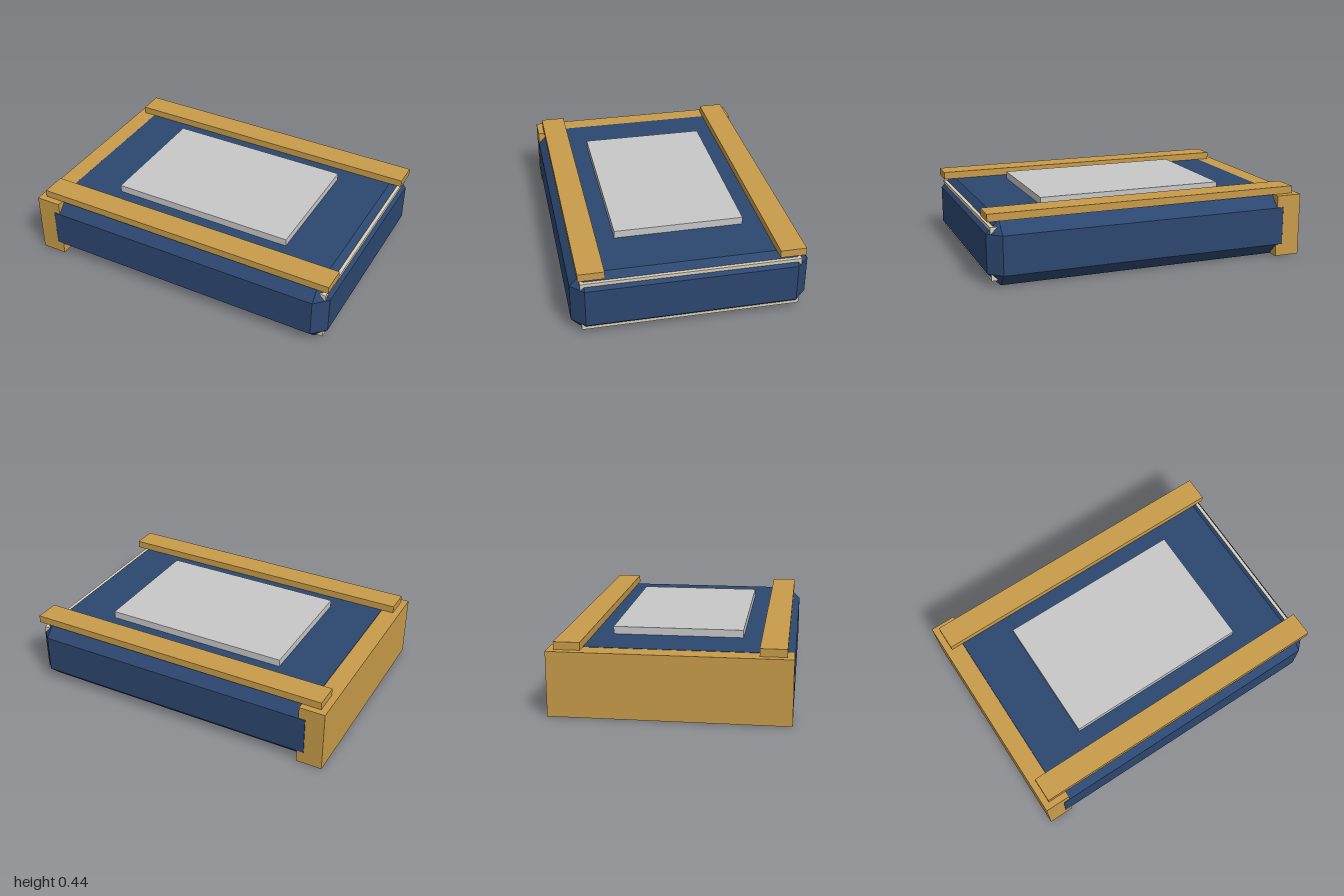
import * as THREE from 'three';
import { ConvexGeometry } from 'three/addons/geometries/ConvexGeometry.js';

const material = (name, color) => {
  const m = new THREE.MeshStandardMaterial({ color });
  m.name = name;
  return m;
};

export function createModel() {
  const model = new THREE.Group();
  model.name = 'mattressBlock';
  const blue = material('navy blue', 0x2c4770);
  const gold = material('ochre gold', 0xc99c4a);
  const grey = material('light grey', 0xc8c8c8);
  const cream = material('cream', 0xd8cfb8);

  // Box given by its extents on each axis
  const box = (name, mat, [x0, x1], [y0, y1], [z0, z1]) => {
    const mesh = new THREE.Mesh(new THREE.BoxGeometry(x1 - x0, y1 - y0, z1 - z0), mat);
    mesh.position.set((x0 + x1) / 2, (y0 + y1) / 2, (z0 + z1) / 2);
    mesh.name = name;
    model.add(mesh);
  };

  // Body: box with chamfered edges and triangular corners
  const half = new THREE.Vector3(0.98, 0.196, 0.705);
  const chamfer = 0.078;
  const corners = [];
  for (const sx of [-1, 1]) for (const sy of [-1, 1]) for (const sz of [-1, 1]) {
    for (const axis of ['x', 'y', 'z']) {
      const p = half.clone().subScalar(chamfer);
      p[axis] = half[axis];
      corners.push(p.multiply(new THREE.Vector3(sx, sy, sz)));
    }
  }
  const body = new THREE.Mesh(new ConvexGeometry(corners), blue);
  body.position.set(0.02, half.y, 0);
  body.name = 'body';
  model.add(body);

  // End block wrapped around the body's right end
  box('endBlock', gold, [-1, -0.84], [0.0015, 0.3905], [-0.7035, 0.7035]);

  // Cream piping along the upper and lower edges of the left end
  box('upperPiping', cream, [0.94, 0.98], [0.315, 0.355], [-0.65, 0.65]);
  box('lowerPiping', cream, [0.94, 0.98], [0.038, 0.078], [-0.65, 0.65]);

  // Two straps and the central pad on top
  box('frontStrap', gold, [-0.96, 1], [0.392, 0.438], [0.51, 0.665]);
  box('backStrap', gold, [-0.96, 1], [0.392, 0.438], [-0.665, -0.51]);
  box('topPad', grey, [-0.57, 0.605], [0.392, 0.438], [-0.393, 0.393]);

  return model;
}
